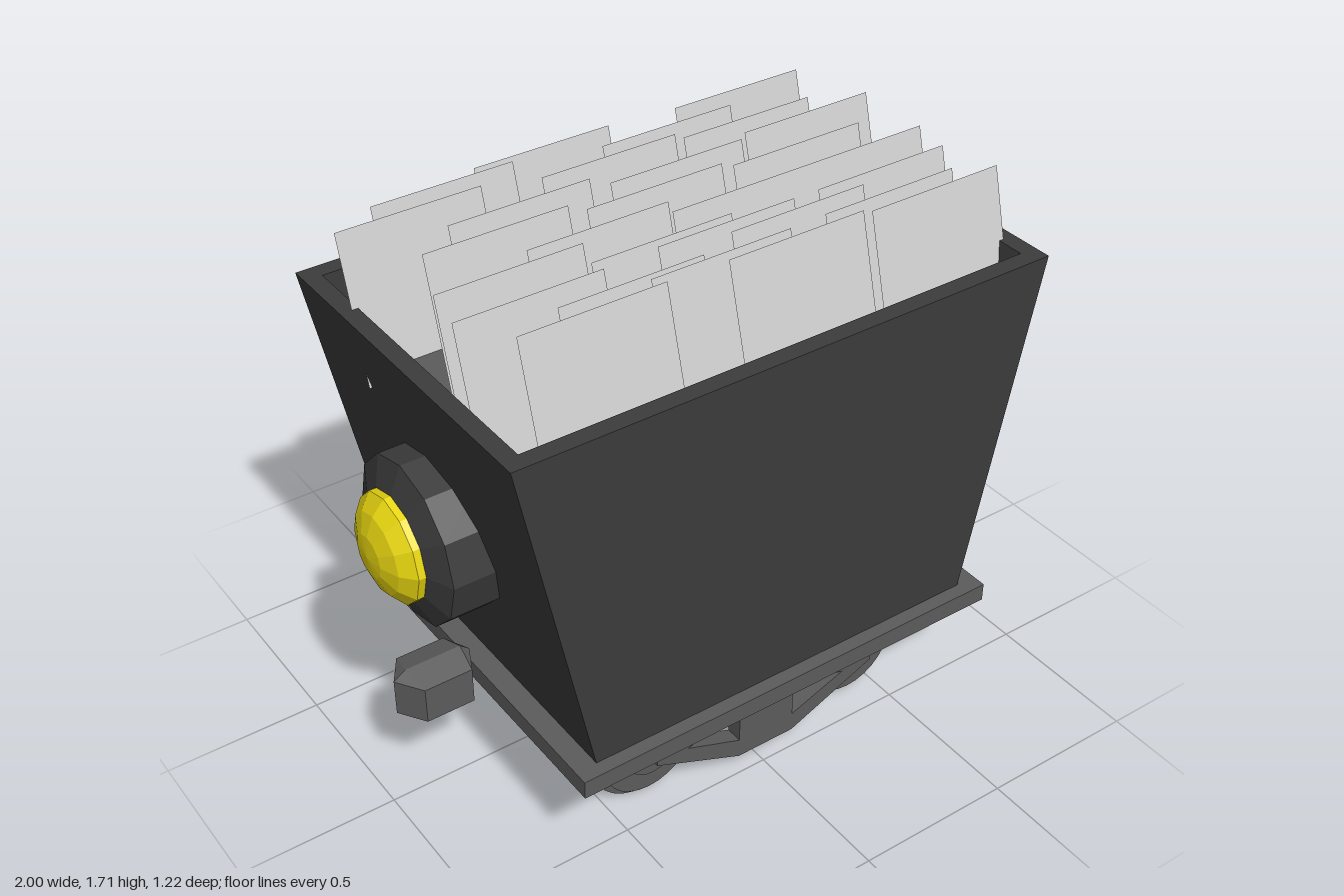
import * as THREE from 'three';
import { toCreasedNormals } from 'three/addons/utils/BufferGeometryUtils.js';
import { ConvexGeometry } from 'three/addons/geometries/ConvexGeometry.js';

const CX = 0.02; // the cart body is symmetric about this x

const darkIron = new THREE.MeshStandardMaterial({ color: 0x3c3c3c });
darkIron.name = 'darkIron';
const greyIron = new THREE.MeshStandardMaterial({ color: 0x5c5c5c });
greyIron.name = 'greyIron';
const paleSheet = new THREE.MeshStandardMaterial({ color: 0xcccccc, side: THREE.DoubleSide });
paleSheet.name = 'paleSheet';
const yellowGlass = new THREE.MeshStandardMaterial({ color: 0xe8d610 });
yellowGlass.name = 'yellowGlass';

function add(parent, name, geometry, material, x = 0, y = 0, z = 0) {
  const mesh = new THREE.Mesh(geometry, material);
  mesh.name = name;
  mesh.position.set(x, y, z);
  parent.add(mesh);
  return mesh;
}

// Flat-shaded walls through rectangular rings given as [halfX, y, halfZ]
function loftRects(rings) {
  const corners = [[-1, 1], [1, 1], [1, -1], [-1, -1]];
  const at = ([hx, y, hz], i) => [corners[i % 4][0] * hx, y, corners[i % 4][1] * hz];
  const pos = [];
  for (let r = 0; r < rings.length - 1; r++) {
    for (let i = 0; i < 4; i++) {
      const a = at(rings[r], i), b = at(rings[r], i + 1);
      const c = at(rings[r + 1], i + 1), d = at(rings[r + 1], i);
      pos.push(...a, ...b, ...c, ...a, ...c, ...d);
    }
  }
  const g = new THREE.BufferGeometry();
  g.setAttribute('position', new THREE.Float32BufferAttribute(pos, 3));
  g.computeVertexNormals();
  return g;
}

function lathe(points, sides, crease) {
  const g = new THREE.LatheGeometry(points.map(p => new THREE.Vector2(...p)), sides);
  return toCreasedNormals(g, crease);
}

// Coupling block: a box with pointed ends and a shallow ridge above and below
function bufferGeometry(side) {
  const pts = [];
  for (const [ridge, ring] of [[0.481, 0.455], [0.31, 0.335]]) {
    for (const x of [0.76, 0.94]) pts.push([x, ridge, 0]);
    for (const z of [-0.084, 0.084]) pts.push([0.77, ring, z], [0.925, ring, z]);
    pts.push([0.73, ring, 0], [0.98, ring, 0]);
  }
  return toCreasedNormals(
    new ConvexGeometry(pts.map(([x, y, z]) => new THREE.Vector3(CX + side * x, y, z))), 0.1);
}

export function createModel() {
  const cart = new THREE.Group();
  cart.name = 'mineCart';

  // Tapered tub with a rim, and the surface of its load
  add(cart, 'tub', loftRects([
    [0.662, 0.41, 0.565], [0.88, 1.5, 0.565], [0.825, 1.5, 0.51], [0.79, 1.3, 0.51],
  ]), darkIron, CX);
  const fill = new THREE.PlaneGeometry(1.59, 1.02).rotateX(-Math.PI / 2);
  add(cart, 'loadSurface', fill, greyIron, CX, 1.315);

  // Leaning sheets: left edge x and top edge z of each
  const sheets = [
    [-0.34, -0.457], [0.33, -0.436], [-0.68, -0.43], [-0.825, -0.36], [0.025, -0.36],
    [-0.215, -0.302], [0.243, -0.27], [-0.56, -0.222], [0.404, -0.195], [-0.077, -0.168],
    [-0.69, -0.13], [-0.21, -0.083], [0.26, -0.056], [-0.457, 0.008], [-0.03, 0.061],
    [-0.767, 0.061], [0.393, 0.061], [-0.355, 0.158], [-0.168, 0.19], [-0.794, 0.2],
    [0.366, 0.19], [0.035, 0.238], [-0.543, 0.291], [-0.275, 0.313], [0.297, 0.307],
    [-0.697, 0.345], [-0.056, 0.35], [0.41, 0.366],
  ];
  const height = 0.43, lean = 0.118;
  const sheet = new THREE.PlaneGeometry(0.45, Math.hypot(height, lean));
  sheet.rotateX(-Math.atan2(lean, height)).translate(0.225, -height / 2, lean / 2);
  const stack = new THREE.Group();
  stack.name = 'sheets';
  cart.add(stack);
  for (const [x, z] of sheets) add(stack, 'sheet', sheet, paleSheet, x, 1.71, z);

  // Base frame and end couplings
  add(cart, 'baseFrame', new THREE.BoxGeometry(1.46, 0.06, 1.22), greyIron, CX, 0.38, 0);
  add(cart, 'leftCoupling', bufferGeometry(1), greyIron);
  add(cart, 'rightCoupling', bufferGeometry(-1), greyIron);

  // Flanged wheels, on the front side
  const wheel = lathe([
    [0, 0.32], [0.182, 0.32], [0.182, 0.328], [0.163, 0.333], [0.163, 0.372],
    [0.182, 0.377], [0.182, 0.385], [0.157, 0.388], [0.157, 0.41], [0.085, 0.41],
    [0.085, 0.428], [0, 0.428],
  ], 28, 0.4).rotateX(Math.PI / 2);
  for (const side of [-1, 1]) add(cart, 'wheel', wheel, greyIron, CX + side * 0.38, 0.184, 0);

  // Wheel bracket: a centre post with a triangular arm to each side
  const shape = new THREE.Shape([
    [-0.1, 0.35], [-0.1, 0.3], [-0.4, 0.2], [-0.4, 0.18], [-0.1, 0.05],
    [0.1, 0.05], [0.4, 0.18], [0.4, 0.2], [0.1, 0.3], [0.1, 0.35],
  ].map(p => new THREE.Vector2(...p)));
  for (const s of [-1, 1]) {
    shape.holes.push(new THREE.Path(
      [[0.1, 0.245], [0.29, 0.188], [0.1, 0.115]].map(([x, y]) => new THREE.Vector2(s * x, y))));
  }
  add(cart, 'wheelBracket',
    new THREE.ExtrudeGeometry(shape, { depth: 0.055, bevelEnabled: false }),
    greyIron, CX, 0, 0.427);

  // Headlamp on the right end, faceted
  const lamp = new THREE.Group();
  lamp.name = 'headlamp';
  lamp.position.set(0, 0.932, 0);
  lamp.rotation.z = Math.PI / 2;
  cart.add(lamp);
  add(lamp, 'lampHousing',
    lathe([[0, 0.715], [0.255, 0.715], [0.255, 0.875], [0.17, 0.91], [0, 0.91]], 12, 0.05),
    darkIron);
  add(lamp, 'lampGlass',
    lathe([[0.168, 0.905], [0.168, 0.932], [0.125, 0.97], [0.065, 0.993], [0, 1]], 12, 0.05),
    yellowGlass);

  return cart;
}
